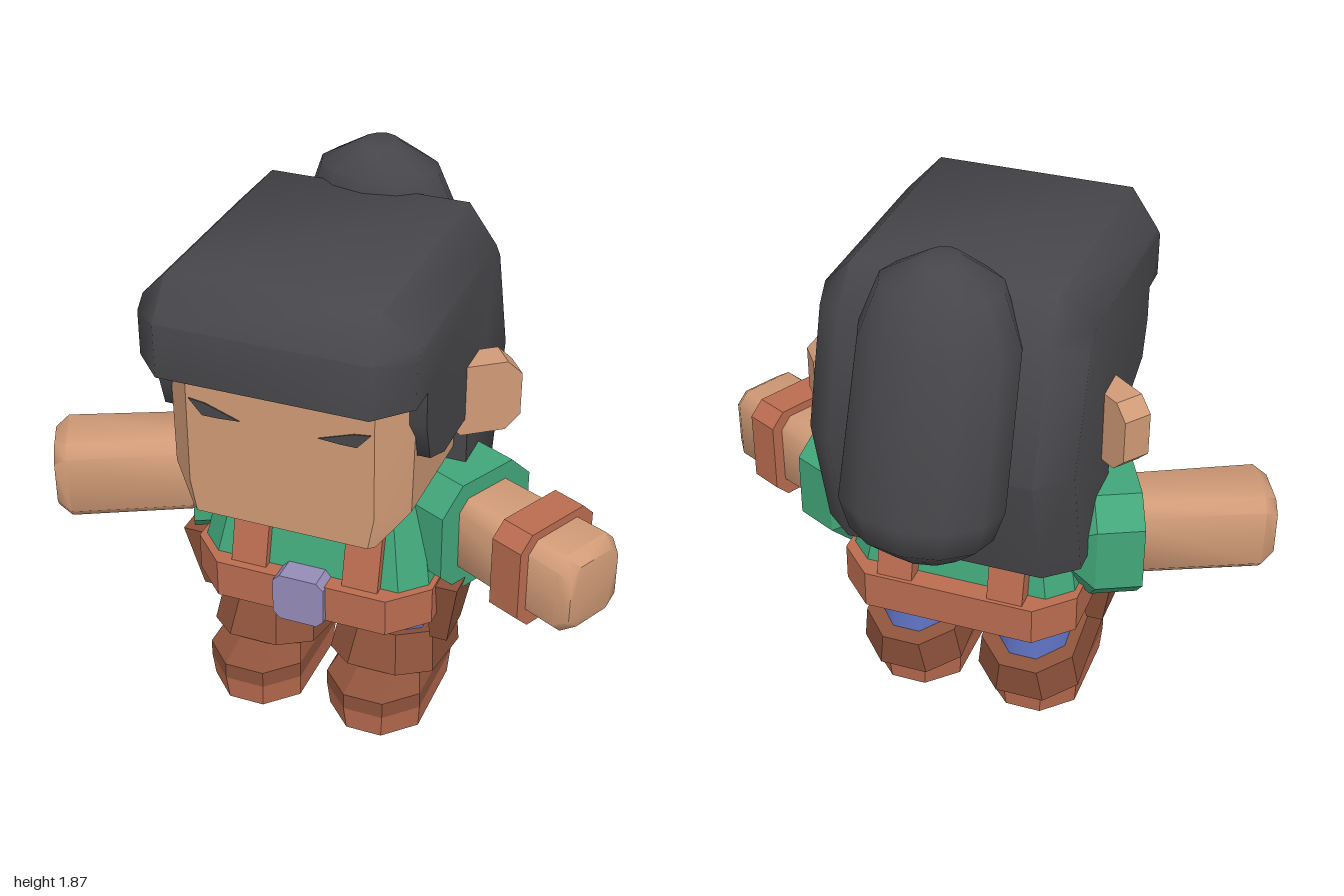
import * as THREE from 'three';
import { toCreasedNormals } from 'three/addons/utils/BufferGeometryUtils.js';

const mat = (name, color) => {
  const m = new THREE.MeshStandardMaterial({ color });
  m.name = name;
  return m;
};

// Joins matching rings of [x, y, z] points and caps both ends.
// flat: the two axes in which the caps are triangulated.
function loft(rings, crease = 0.3, flat = [0, 2]) {
  const n = rings[0].length, index = [];
  for (let r = 0; r < rings.length - 1; r++) {
    for (let i = 0; i < n; i++) {
      const a = r * n + i, b = r * n + (i + 1) % n;
      index.push(a, b, b + n, a, b + n, a + n);
    }
  }
  const cap = (r, reverse) => {
    const pts = rings[r].map(p => new THREE.Vector2(p[flat[0]], p[flat[1]]));
    const sign = THREE.ShapeUtils.area(pts);
    for (const t of THREE.ShapeUtils.triangulateShape(pts.slice(), [])) {
      const same = THREE.ShapeUtils.area(t.map(k => pts[k])) * sign > 0;
      const [a, b, c] = t.map(k => k + r * n);
      if (same !== reverse) index.push(a, b, c); else index.push(a, c, b);
    }
  };
  cap(0, true);
  cap(rings.length - 1, false);

  // Turn the surface outward if its signed volume is negative
  const P = rings.flat().map(p => new THREE.Vector3(...p));
  let volume = 0;
  for (let i = 0; i < index.length; i += 3) {
    volume += P[index[i]].dot(P[index[i + 1]].clone().cross(P[index[i + 2]]));
  }
  if (volume < 0) index.reverse();
  const g = new THREE.BufferGeometry().setFromPoints(P);
  g.setIndex(index);
  return toCreasedNormals(g, crease);
}

// Horizontal octagon: a rectangle with cut corners
const oct = (y, hx, z0, z1, c) => [
  [-hx + c, y, z1], [hx - c, y, z1], [hx, y, z1 - c], [hx, y, z0 + c],
  [hx - c, y, z0], [-hx + c, y, z0], [-hx, y, z0 + c], [-hx, y, z1 - c],
];
const rect = (y, x0, x1, z0, z1) => [[x0, y, z1], [x1, y, z1], [x1, y, z0], [x0, y, z0]];

// Stack of octagons with equal half depth, along +x
const along = (rows, c, crease) =>
  loft(rows.map(([d, h, w]) => oct(d, h, -w, w, c)), crease).rotateZ(-Math.PI / 2);

// Upright octagonal plate facing +z
const plate = (hx, hy, t, c) =>
  loft([oct(-t / 2, hx, -hy, hy, c), oct(t / 2, hx, -hy, hy, c)]).rotateX(Math.PI / 2);

export function createModel() {
  const root = new THREE.Group();
  root.name = 'figure';
  const skin = mat('skin', 0xd19b77), black = mat('charcoal', 0x47474b);
  const green = mat('green', 0x42a679), tan = mat('terracotta', 0xba6c50);
  const brown = mat('brown', 0x8d523b), blue = mat('blue', 0x6174c6);
  const lilac = mat('lilac', 0x958cb8);

  const add = (name, geometry, material, parent = root) => {
    const m = new THREE.Mesh(geometry, material);
    m.name = name;
    parent.add(m);
    return m;
  };

  // Head
  add('head', loft([
    oct(0.9, 0.31, -0.1, 0.56, 0.02), oct(1.01, 0.4, -0.1, 0.56, 0.09), oct(1.55, 0.41, -0.1, 0.56, 0.1),
  ]), skin);

  // Hair: side profile as [z, y], narrowed at the outermost sections
  const inner = [[0.69, 1.45], [0.69, 1.63], [0.59, 1.75], [-0.2, 1.75], [-0.3, 1.63], [-0.43, 1.2],
    [-0.31, 0.77], [0.07, 0.77], [0.07, 1.14], [0.3, 1.14], [0.44, 1.2], [0.48, 1.33], [0.48, 1.45]];
  const outer = inner.map(p => p.slice());
  [[0.58, 1.45], [0.58, 1.6], [0.54, 1.64], [-0.16, 1.64], [-0.21, 1.58], [-0.33, 1.2], [-0.22, 0.77]]
    .forEach((p, i) => { outer[i] = p; });
  const slice = (x, profile) => profile.map(([z, y]) => [x, y, z]);
  add('hair', loft([
    slice(-0.445, outer), slice(-0.34, inner), slice(0.34, inner), slice(0.445, outer),
  ], 0.9, [2, 1]), black);

  // Ponytail: leaning stack of ovals [y, half width, back, front]
  const oval = ([y, rx, z0, z1]) => Array.from({ length: 12 }, (_, i) => {
    const a = i / 12 * Math.PI * 2;
    return [rx * Math.sin(a), y, (z0 + z1) / 2 + (z1 - z0) / 2 * Math.cos(a)];
  });
  add('ponytail', loft([
    [1.87, 0.06, -0.36, -0.22], [1.79, 0.2, -0.45, -0.14], [1.62, 0.265, -0.51, -0.13],
    [1.14, 0.275, -0.69, -0.28], [1.03, 0.24, -0.67, -0.32], [0.93, 0.14, -0.57, -0.36],
  ].map(oval), 0.9), black);

  // Torso, belt and buckle
  add('shirt', loft([oct(0.55, 0.41, -0.21, 0.37, 0.08), oct(0.95, 0.33, -0.14, 0.27, 0.07)]), green);
  add('belt', loft([oct(0.46, 0.42, -0.28, 0.42, 0.12), oct(0.595, 0.42, -0.28, 0.42, 0.12)]), tan);
  add('buckle', plate(0.09, 0.088, 0.09, 0.025), lilac).position.set(0, 0.528, 0.395);

  for (const s of [1, -1]) {
    const side = s > 0 ? 'left' : 'right';

    // Eye
    const eye = new THREE.Shape([[0.13, 1.27], [0.2, 1.265], [0.255, 1.265], [0.3, 1.317], [0.245, 1.31]]
      .map(([x, y]) => new THREE.Vector2(s * x, y)));
    add(side + 'Eye', new THREE.ExtrudeGeometry(eye, { depth: 0.006, bevelEnabled: false }), black)
      .position.z = 0.558;

    // Ear
    const ear = add(side + 'Ear', plate(0.125, 0.125, 0.1, 0.05), skin);
    ear.position.set(s * 0.465, 1.205, 0.02);
    ear.rotation.y = s * 0.64;

    // Arm, swung slightly forward
    const arm = new THREE.Group();
    arm.name = side + 'Arm';
    arm.position.set(s * 0.46, 0.755, 0.07);
    arm.rotation.y = s > 0 ? -0.45 : Math.PI + 0.45;
    root.add(arm);
    add('forearm', along([[0, 0.145, 0.125], [0.5, 0.145, 0.135], [0.545, 0.115, 0.11]], 0.04, 0.9), skin, arm);
    add('sleeve', along([[-0.16, 0.15, 0.15], [-0.08, 0.205, 0.205], [0.08, 0.205, 0.205]], 0.09), green, arm);
    if (s > 0) add('wristband', along([[0.265, 0.175, 0.17], [0.385, 0.175, 0.17]], 0.05), tan, arm);

    // Shoulder strap, showing at front and back
    const [x0, x1] = s > 0 ? [0.135, 0.26] : [-0.26, -0.135];
    add(side + 'Strap', loft([rect(0.55, x0, x1, -0.275, 0.4), rect(0.96, x0, x1, -0.19, 0.3)]), tan);

    // Hip pouch, tapering downward
    const hip = (y, a, b, z0, z1) => rect(y, Math.min(s * a, s * b), Math.max(s * a, s * b), z0, z1);
    add(side + 'Pouch', loft([hip(0.33, 0.39, 0.45, 0.07, 0.22), hip(0.585, 0.38, 0.495, 0.02, 0.27)]), brown);

    // Leg and boot
    const leg = new THREE.Group();
    leg.name = side + 'Leg';
    leg.position.x = s * 0.22;
    root.add(leg);
    add('trouser', loft([oct(0.15, 0.135, -0.12, 0.26, 0.08), oct(0.5, 0.115, -0.12, 0.26, 0.08)], 0.9), blue, leg);
    const cuff = add('bootCuff', loft([
      oct(-0.07, 0.187, -0.25, 0.25, 0.1), oct(0.07, 0.168, -0.235, 0.235, 0.1),
    ]), brown, leg);
    cuff.position.set(0, 0.225, 0.07);
    cuff.rotation.x = -0.25;
    add('boot', loft([
      oct(0.09, 0.17, -0.12, 0.41, 0.1), oct(0.15, 0.17, -0.12, 0.41, 0.1), oct(0.22, 0.13, -0.1, 0.29, 0.08),
    ]), brown, leg);
    add('sole', loft([oct(0, 0.163, -0.11, 0.4, 0.1), oct(0.09, 0.17, -0.12, 0.41, 0.1)]), tan, leg);
  }
  return root;
}
